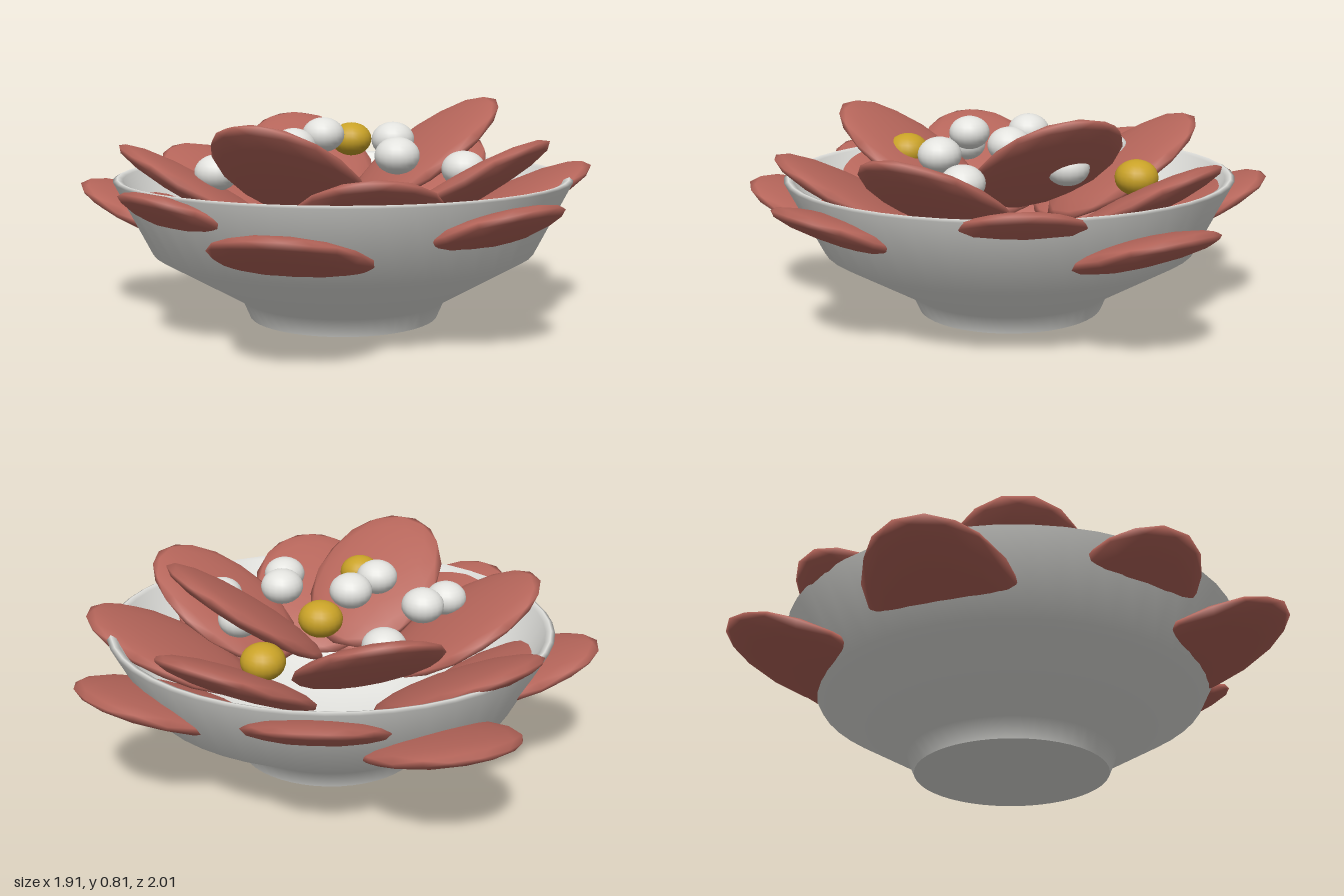
import * as THREE from 'three';

const GOLDEN = THREE.MathUtils.degToRad(137.5);
const flat = (name, color) => Object.assign(new THREE.MeshStandardMaterial({ color }), { name });

export function createModel() {
  const model = new THREE.Group();
  model.name = 'flowerBowl';
  const porcelain = flat('porcelain white', 0xe2e2de);
  porcelain.side = THREE.DoubleSide;
  const petalRed = flat('petal red', 0xb5655a);
  const gold = flat('gold', 0xc9a227);

  const flower = new THREE.Group();
  flower.name = 'flower';
  flower.position.set(-0.055, 0, 0.04);
  model.add(flower);

  const add = (name, geometry, material, parent = flower) => {
    const mesh = new THREE.Mesh(geometry, material);
    mesh.name = name;
    parent.add(mesh);
    return mesh;
  };

  // Bowl: one smooth profile from the foot over the rim to the inner floor
  const profile = [
    [0.355, 0], [0.385, 0.07], [0.71, 0.26], [0.845, 0.527],
    [0.83, 0.535], [0.81, 0.527], [0.675, 0.28], [0.36, 0.1], [0, 0.09],
  ].map(([r, y]) => new THREE.Vector2(r, y));
  add('bowl', new THREE.LatheGeometry(profile, 48), porcelain);
  add('bowlBase', new THREE.CircleGeometry(0.355, 48).rotateX(Math.PI / 2), porcelain);

  // Petals: flattened ellipsoids on a golden-angle spiral, lower and flatter outwards
  const length = 0.35;
  const petalShape = new THREE.IcosahedronGeometry(1, 2).scale(length, 0.052, 0.265);
  const tipHeights = [0.805, 0.76, 0.715, 0.69, 0.655, 0.63, 0.61, 0.59,
    0.57, 0.545, 0.525, 0.515, 0.49, 0.475, 0.46, 0.44];
  tipHeights.forEach((tipY, i) => {
    const tilt = THREE.MathUtils.degToRad(35 - 1.1 * i);
    const tipRadius = 0.62 + 0.09 * Math.pow(i, 0.59);
    const arm = new THREE.Group();
    arm.name = `petalArm${i + 1}`;
    arm.rotation.y = -i * GOLDEN;
    flower.add(arm);
    const petal = add(`petal${i + 1}`, petalShape, petalRed, arm);
    petal.position.set(tipRadius - length * Math.cos(tilt), tipY - length * Math.sin(tilt), 0);
    petal.rotation.z = tilt;
  });

  // Beads: slightly squashed, on their own spiral, every fourth one gold
  const beadShape = new THREE.SphereGeometry(0.08, 20, 14).scale(1, 0.82, 1);
  for (let k = 0; k < 12; k++) {
    const radius = 0.15 * Math.sqrt(k + 0.5);
    const angle = THREE.MathUtils.degToRad(246) + k * GOLDEN;
    const bead = add(`bead${k + 1}`, beadShape, k % 4 === 3 ? gold : porcelain);
    bead.position.set(radius * Math.cos(angle), 0.673 - 0.0115 * k, radius * Math.sin(angle));
  }
  return model;
}
